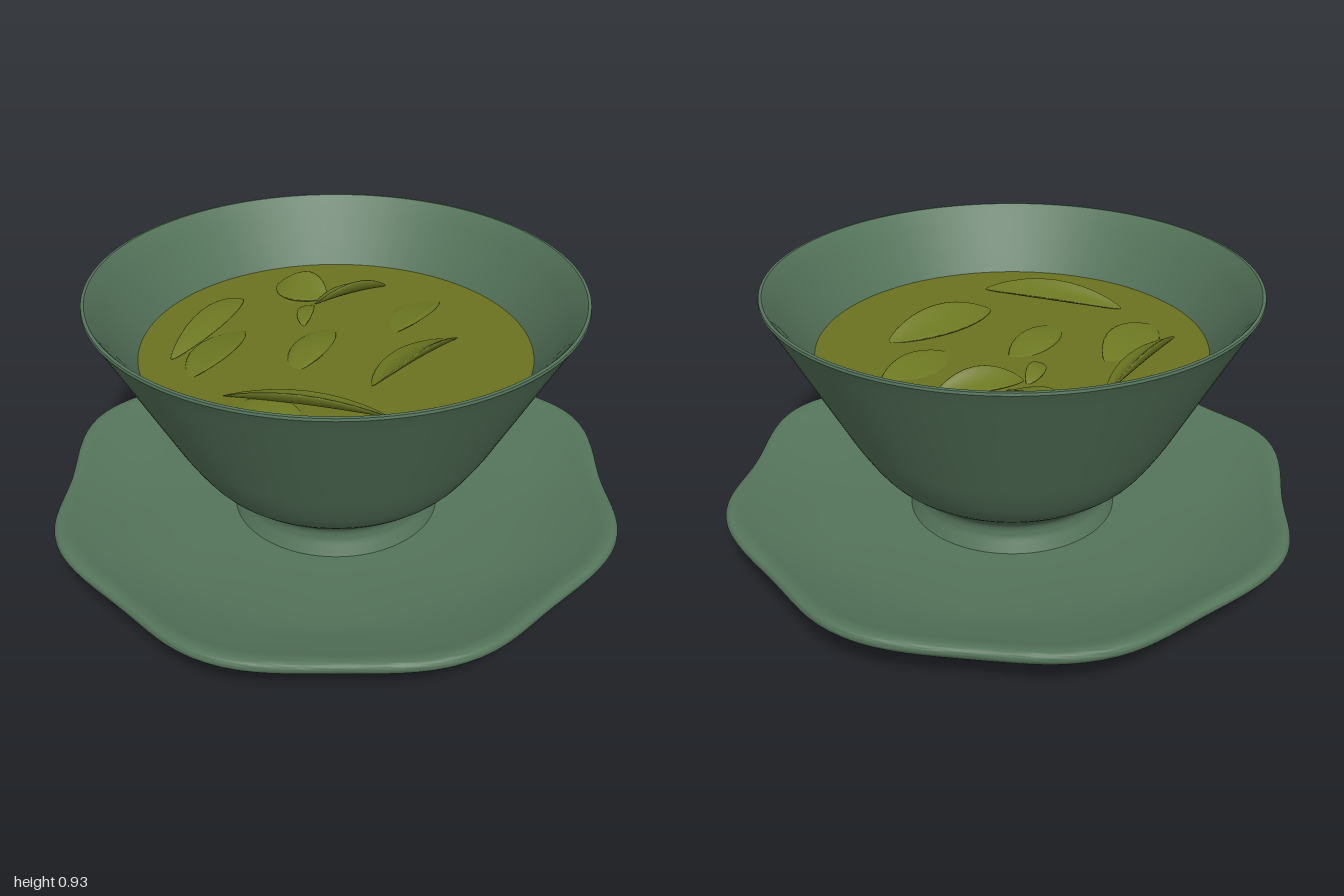
import * as THREE from 'three';
import { mergeVertices, toCreasedNormals } from 'three/addons/utils/BufferGeometryUtils.js';

const material = (name, color, side = THREE.FrontSide) => {
  const m = new THREE.MeshStandardMaterial({ color, side });
  m.name = name;
  return m;
};

const SOUP_Y = 0.722;

// Turn a profile (bottom to top on the outside), optionally bend it, keep sharp edges sharp
function turned(points, bend) {
  let geo = new THREE.LatheGeometry(points.map(([r, y]) => new THREE.Vector2(r, y)), 128);
  if (bend) {
    const p = geo.attributes.position;
    const v = new THREE.Vector3();
    for (let i = 0; i < p.count; i++) {
      bend(v.fromBufferAttribute(p, i));
      p.setXYZ(i, v.x, v.y, v.z);
    }
  }
  geo.deleteAttribute('uv');
  geo.deleteAttribute('normal');
  return toCreasedNormals(mergeVertices(geo, 1e-5), 0.7);
}

// Smooth a few profile points into a finer curve
function smooth(points, n) {
  const curve = new THREE.CatmullRomCurve3(points.map(([r, y]) => new THREE.Vector3(r, y, 0)), false, 'centripetal');
  return curve.getPoints(n).map((p) => [Math.max(p.x, 0), p.y]);
}

// Eight soft lobes that fade in towards the saucer edge
function scallop(v) {
  const r = Math.hypot(v.x, v.z);
  const f = THREE.MathUtils.smoothstep(r, 0.5, 1);
  const wave = Math.cos(8 * Math.atan2(v.x, v.z));
  const s = 1 - f * 0.025 * (1 - wave);
  v.set(v.x * s, v.y + f * 0.008 * wave, v.z * s);
}

// Pointed, slightly cupped leaf lying between two points of the soup surface
function leafGeometry(length, width, height, cup, bow) {
  const geo = new THREE.SphereGeometry(1, 20, 14);
  geo.rotateZ(Math.PI / 2);
  const p = geo.attributes.position;
  for (let i = 0; i < p.count; i++) {
    const x = p.getX(i), y = p.getY(i), z = p.getZ(i);
    const taper = Math.sqrt(Math.max(0, 1 - x * x)) * 0.6 + 0.4;
    p.setXYZ(i,
      x * length / 2,
      y * height * taper + cup * z * z - bow * x * x,
      z * taper * width / 2 + bow * (1 - x * x) * 0.4);
  }
  geo.computeVertexNormals();
  return geo;
}

export function createModel() {
  const model = new THREE.Group();
  const green = material('green glaze', 0x55745b);
  const olive = material('olive broth', 0x6b7320);
  const leafGreen = material('leaf olive', 0x6d7822);
  const clay = material('bare clay', 0x765a45);

  const add = (name, geo, mat, parent = model) => {
    const mesh = new THREE.Mesh(geo, mat);
    mesh.name = name;
    parent.add(mesh);
    return mesh;
  };

  // Saucer: foot wall, underside, rounded scalloped edge, top
  const saucer = new THREE.Group();
  saucer.name = 'saucer';
  model.add(saucer);
  add('saucerPlate', turned(smooth([
    [0.404, 0.014], [0.413, 0.045], [0.435, 0.064], [0.48, 0.072], [0.62, 0.078],
    [0.8, 0.094], [0.92, 0.118], [0.978, 0.148], [1, 0.178], [0.992, 0.196],
    [0.965, 0.198], [0.9, 0.178], [0.75, 0.142], [0.5, 0.118], [0.3, 0.114], [0, 0.114],
  ], 64), scallop), green, saucer);
  add('saucerFootRing', turned([[0.334, 0.014], [0.404, 0.014]]), clay, saucer);
  add('saucerFootRecess', turned([[0, 0.052], [0.3, 0.052], [0.318, 0.045], [0.334, 0.014]]), green, saucer);

  // Bowl: flared foot, rounded belly, straight flared wall, thin lip, inner wall
  const outer = smooth([
    [0.362, 0.112], [0.35, 0.135], [0.334, 0.17], [0.336, 0.205], [0.37, 0.24], [0.465, 0.315],
    [0.545, 0.43], [0.61, 0.55], [0.705, 0.73], [0.808, 0.925],
  ], 36);
  const lip = [[0.816, 0.938], [0.814, 0.946], [0.804, 0.947], [0.796, 0.938]];
  const inner = [[0.76, 0.885], [0.71, 0.805], [0.655, SOUP_Y], [0.56, 0.55], [0.42, 0.35], [0, 0.28]];
  add('bowl', turned([...outer, ...lip, ...inner]), green);

  // Broth surface
  const soup = add('soup', new THREE.CircleGeometry(0.658, 96), olive);
  soup.rotation.x = -Math.PI / 2;
  soup.position.y = SOUP_Y;

  // Leaves: [x1, z1, x2, z2, width, lift, roll, cup, bow]
  const leaves = new THREE.Group();
  leaves.name = 'leaves';
  model.add(leaves);
  [
    [-0.38, -0.35, -0.17, -0.32, 0.16, 0.012, 0.3, 0.02, 0.01],
    [-0.19, -0.25, -0.01, -0.49, 0.10, 0.026, -0.5, 0.02, 0.02],
    [-0.20, -0.25, -0.16, -0.09, 0.06, 0.008, 0.2, 0.01, 0.01],
    [0.20, -0.47, 0.13, -0.16, 0.14, 0.001, 0.2, 0.01, 0.01],
    [-0.065, -0.12, -0.065, 0.21, 0.13, 0.003, 0.1, 0.005, 0.01],
    [0.35, -0.21, 0.20, 0.20, 0.14, 0.020, 0.4, 0.02, 0.02],
    [-0.43, -0.19, -0.45, 0.30, 0.09, 0.022, -0.5, 0.02, 0.02],
    [-0.34, 0.02, -0.35, 0.37, 0.16, 0.008, 0.2, 0.01, 0.01],
    [-0.20, 0.43, 0.32, 0.35, 0.10, 0.022, -0.4, 0.02, 0.02],
    [-0.14, 0.45, 0.08, 0.45, 0.12, 0.002, 0.1, 0.005, 0.01],
  ].forEach(([x1, z1, x2, z2, width, lift, roll, cup, bow]) => {
    const length = Math.hypot(x2 - x1, z2 - z1);
    const leaf = add('leaf', leafGeometry(length, width, 0.014, cup, bow), leafGreen, leaves);
    leaf.position.set((x1 + x2) / 2, SOUP_Y + lift, (z1 + z2) / 2);
    leaf.rotation.set(roll, -Math.atan2(z2 - z1, x2 - x1), 0, 'YXZ');
  });

  return model;
}
